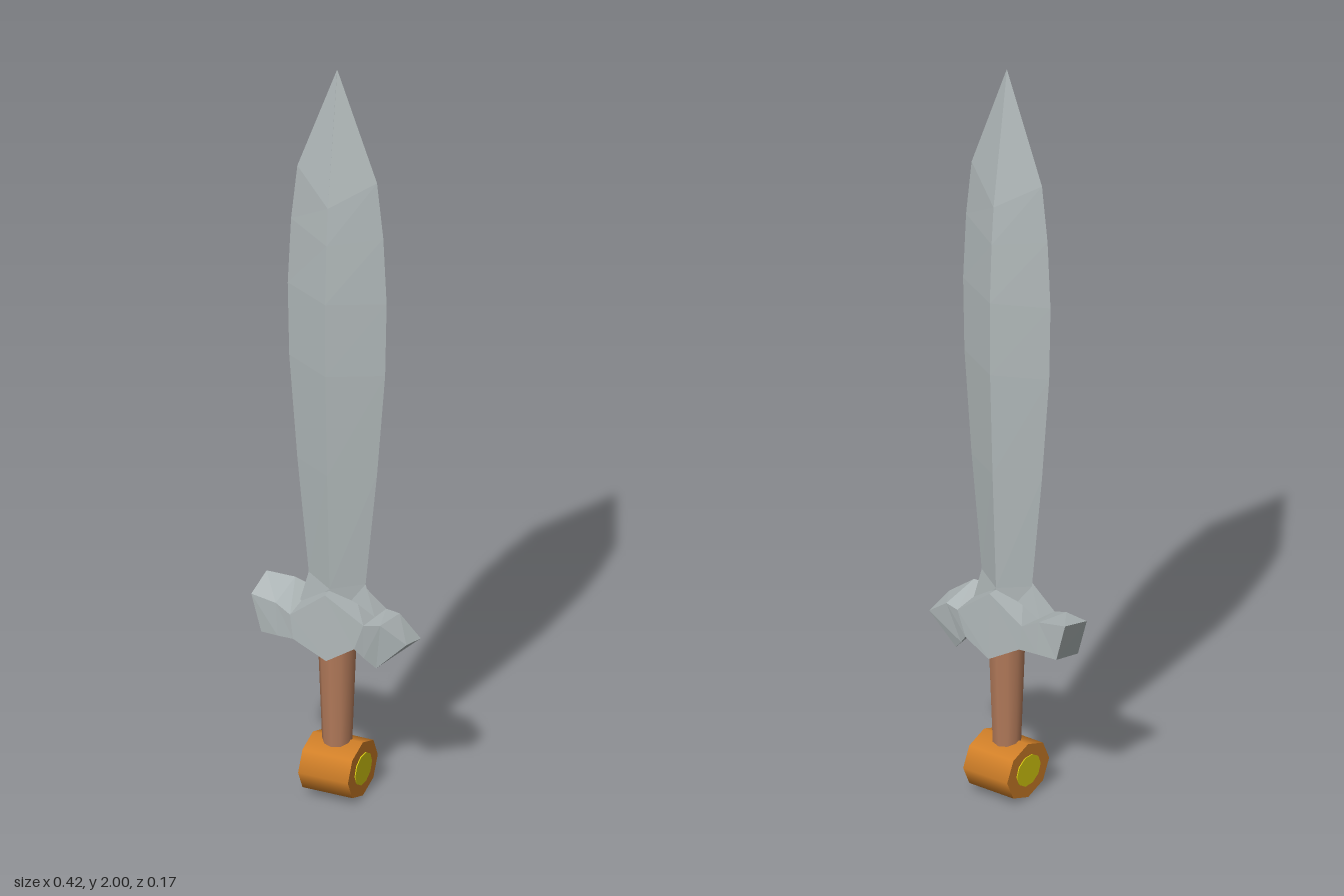
import * as THREE from 'three';

const mat = (name, color, flatShading = false) => {
  const m = new THREE.MeshStandardMaterial({ color, flatShading });
  m.name = name;
  return m;
};

// Skin a list of equal-sized rings, closing both ends
function loft(rings) {
  const pos = [];
  const tri = (a, b, c) => pos.push(...a, ...b, ...c);
  const n = rings[0].length;
  for (let k = 0; k < rings.length - 1; k++) {
    const a = rings[k], b = rings[k + 1];
    for (let i = 0; i < n; i++) {
      const j = (i + 1) % n;
      tri(a[i], a[j], b[j]);
      tri(a[i], b[j], b[i]);
    }
  }
  const first = rings[0], last = rings[rings.length - 1];
  for (let i = 1; i < n - 1; i++) {
    tri(first[0], first[i + 1], first[i]);
    tri(last[0], last[i], last[i + 1]);
  }
  const g = new THREE.BufferGeometry();
  g.setAttribute('position', new THREE.Float32BufferAttribute(pos, 3));
  g.computeVertexNormals();
  return g;
}

export function createModel() {
  const steel = mat('steel', 0xb1b9ba, true);
  const leather = mat('leather', 0xb27a5a);
  const bronze = mat('bronze', 0xd07f28);
  const gold = mat('gold', 0xd9cc10);

  const model = new THREE.Group();
  model.name = 'sword';
  const add = (name, geometry, material) => {
    const mesh = new THREE.Mesh(geometry, material);
    mesh.name = name;
    model.add(mesh);
    return mesh;
  };

  // Blade: diamond sections [edge y, ridge y, half width, half thickness]
  const blade = [
    [0.48, 0.48, 0.108, 0.042],
    [0.59, 0.58, 0.077, 0.044],
    [0.90, 0.90, 0.108, 0.058],
    [1.18, 1.18, 0.130, 0.068],
    [1.38, 1.38, 0.134, 0.069],
    [1.56, 1.54, 0.125, 0.062],
    [1.71, 1.64, 0.108, 0.054],
    [2.00, 2.00, 0.0005, 0.0005],
  ].map(([ye, yr, w, d]) => [[0, yr, d], [w, ye, 0], [0, yr, -d], [-w, ye, 0]]);
  add('blade', loft(blade), steel);

  // Guard: crooked bar, sections [top x, top y, bottom x, bottom y, half depth]
  const twist = 1.2;
  const guard = [
    [-0.212, 0.53, -0.185, 0.43, 0.044],
    [-0.14, 0.525, -0.135, 0.435, 0.056],
    [-0.096, 0.506, -0.088, 0.44, 0.067],
    [0, 0.575, 0.003, 0.393, 0.07],
    [0.102, 0.504, 0.077, 0.435, 0.066],
    [0.143, 0.507, 0.098, 0.41, 0.056],
    [0.207, 0.46, 0.125, 0.381, 0.041],
  ].map(([tx, ty, bx, by, d]) => {
    const p = (x, y, z) => [x, y + twist * x * z, z];
    return [p(tx, ty, d), p(bx, by, d), p(bx, by, -d), p(tx, ty, -d)];
  });
  add('guard', loft(guard), steel);

  // Grip: tapered handle
  const grip = add('grip', new THREE.CylinderGeometry(0.05, 0.037, 0.34, 10), leather);
  grip.scale.z = 0.92;
  grip.position.y = 0.295;

  // Pommel: eight-sided drum lying across the sword
  const pommelGeo = new THREE.CylinderGeometry(0.0735, 0.0735, 0.135, 8);
  pommelGeo.rotateZ(Math.PI / 2);
  const pommel = add('pommel', pommelGeo, bronze);
  pommel.scale.z = 1.16;
  pommel.position.set(0.002, 0.0755, 0);

  // Inlay discs on both pommel ends
  for (const side of [-1, 1]) {
    const discGeo = new THREE.CylinderGeometry(0.041, 0.041, 0.004, 10);
    discGeo.rotateZ(Math.PI / 2);
    const disc = add(side > 0 ? 'leftInlay' : 'rightInlay', discGeo, gold);
    disc.scale.z = 1.16;
    disc.position.set(0.002 + side * 0.068, 0.0765, 0);
  }

  return model;
}
